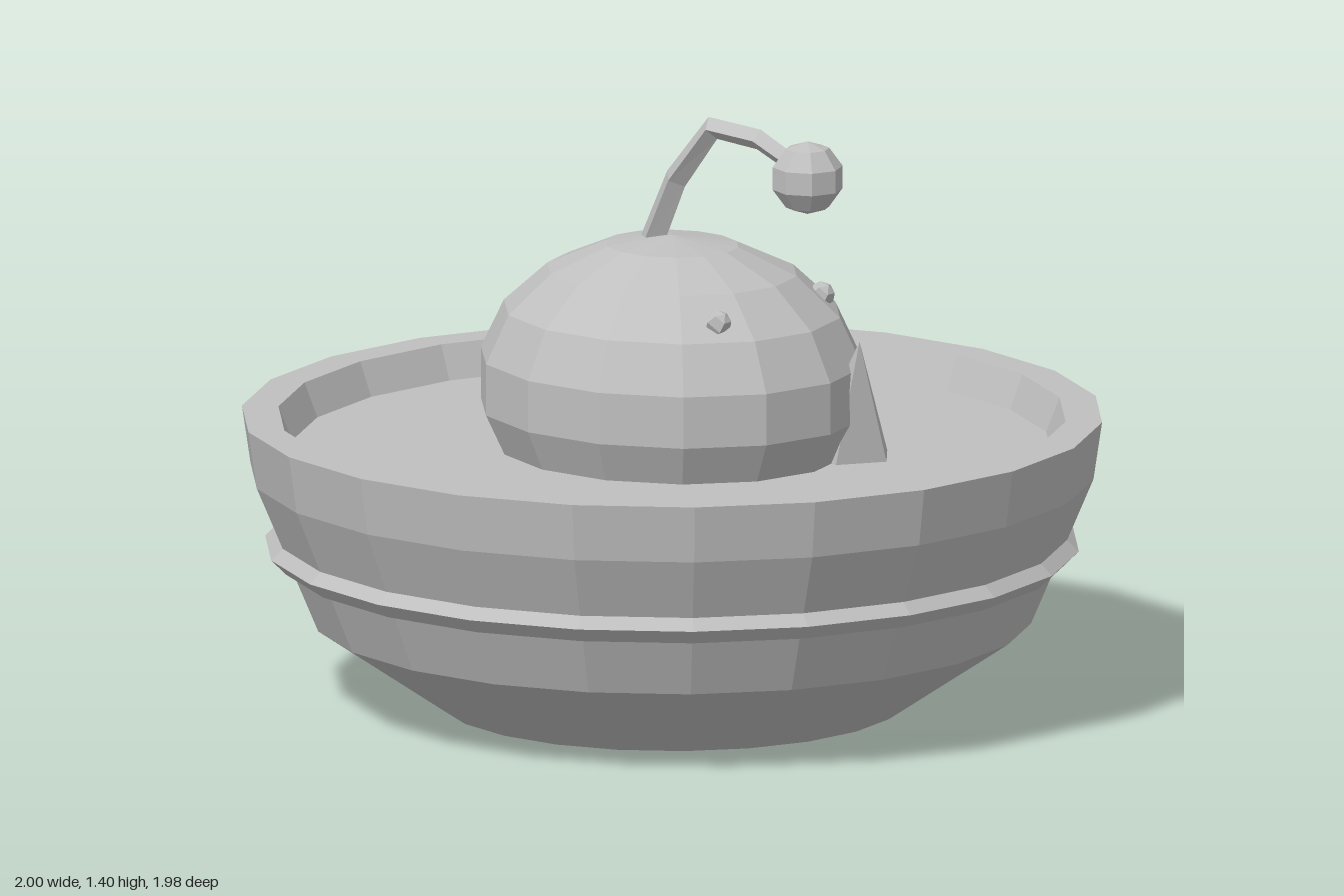
import * as THREE from 'three';

const grey = new THREE.MeshStandardMaterial({ color: 0xbfbfbf, flatShading: true });
grey.name = 'plain grey';

function part(name, geometry, parent) {
  const mesh = new THREE.Mesh(geometry, grey);
  mesh.name = name;
  parent.add(mesh);
  return mesh;
}

// Tapering four-sided stalk swept along a path in the x-y plane
function stalkGeometry(path, startRadius, endRadius) {
  const positions = [], index = [];
  const last = path.length - 1;
  path.forEach(([x, y], i) => {
    const before = path[Math.max(i - 1, 0)], after = path[Math.min(i + 1, last)];
    const dir = new THREE.Vector2(after[0] - before[0], after[1] - before[1]).normalize();
    const r = THREE.MathUtils.lerp(startRadius, endRadius, i / last);
    for (let k = 0; k < 4; k++) {
      const a = k * Math.PI / 2, n = r * Math.cos(a);
      positions.push(x - dir.y * n, y + dir.x * n, r * Math.sin(a));
    }
  });
  for (let i = 0; i < last; i++) {
    for (let k = 0; k < 4; k++) {
      const a = i * 4 + k, b = i * 4 + (k + 1) % 4;
      index.push(a, b, b + 4, a, b + 4, a + 4);
    }
  }
  const geometry = new THREE.BufferGeometry();
  geometry.setAttribute('position', new THREE.Float32BufferAttribute(positions, 3));
  geometry.setIndex(index);
  geometry.computeVertexNormals();
  return geometry;
}

// Five-sided spike whose tip leans away from the centre of its base
function spikeGeometry(height, leanX, leanZ) {
  const geometry = new THREE.ConeGeometry(0.104, height, 5);
  geometry.rotateY(THREE.MathUtils.degToRad(91));
  geometry.translate(0, height / 2, 0);
  const p = geometry.attributes.position;
  for (let i = 0; i < p.count; i++) {
    const t = p.getY(i) / height;
    p.setX(i, p.getX(i) + leanX * t);
    p.setZ(i, p.getZ(i) + leanZ * t);
  }
  geometry.computeVertexNormals();
  return geometry;
}

export function createModel() {
  const model = new THREE.Group();
  model.name = 'dome in a bowl';
  const floorY = 0.6;

  // Bowl hull with rim, inner wall and recessed floor
  const profile = [
    [0, 0], [0.54, 0], [0.835, 0.2], [0.98, 0.545], [1, 0.68],
    [0.915, 0.68], [0.883, floorY], [0, floorY],
  ].map(([r, y]) => new THREE.Vector2(r, y));
  part('bowl', new THREE.LatheGeometry(profile, 22).rotateY(Math.PI / 2), model);

  // Ridge around the hull
  const ridge = new THREE.TorusGeometry(0.911, 0.035, 4, 22).rotateX(Math.PI / 2);
  part('ridge', ridge, model).position.y = 0.373;

  // Faceted dome head
  const dome = new THREE.SphereGeometry(1, 14, 9).scale(0.472, 0.35, 0.427);
  part('dome', dome, model).position.y = 0.755;

  // Eyes on the +x side of the dome
  for (const side of [1, -1]) {
    const eye = part(side > 0 ? 'frontEye' : 'backEye', new THREE.SphereGeometry(0.032, 5, 4), model);
    eye.position.set(0.287, 0.968, side * 0.195);
    eye.rotation.z = -0.7;
  }

  // Antenna stalk and ball
  const antenna = new THREE.Group();
  antenna.name = 'antenna';
  model.add(antenna);
  const path = [[-0.06, 1.08], [0.012, 1.24], [0.12, 1.375], [0.255, 1.366], [0.38, 1.31]];
  part('antennaStalk', stalkGeometry(path, 0.033, 0.022), antenna);
  part('antennaBall', new THREE.SphereGeometry(0.086, 8, 5), antenna).position.set(0.398, 1.295, 0);

  // Leaning spikes standing on the floor
  const spikes = [
    ['rearSpike', 0.08, -0.485, 0.05, 0.085],
    ['sideSpike', 0.38, -0.185, 0.077, 0.065],
  ];
  for (const [name, x, z, leanX, leanZ] of spikes) {
    part(name, spikeGeometry(0.293, leanX, leanZ), model).position.set(x, floorY, z);
  }

  return model;
}
